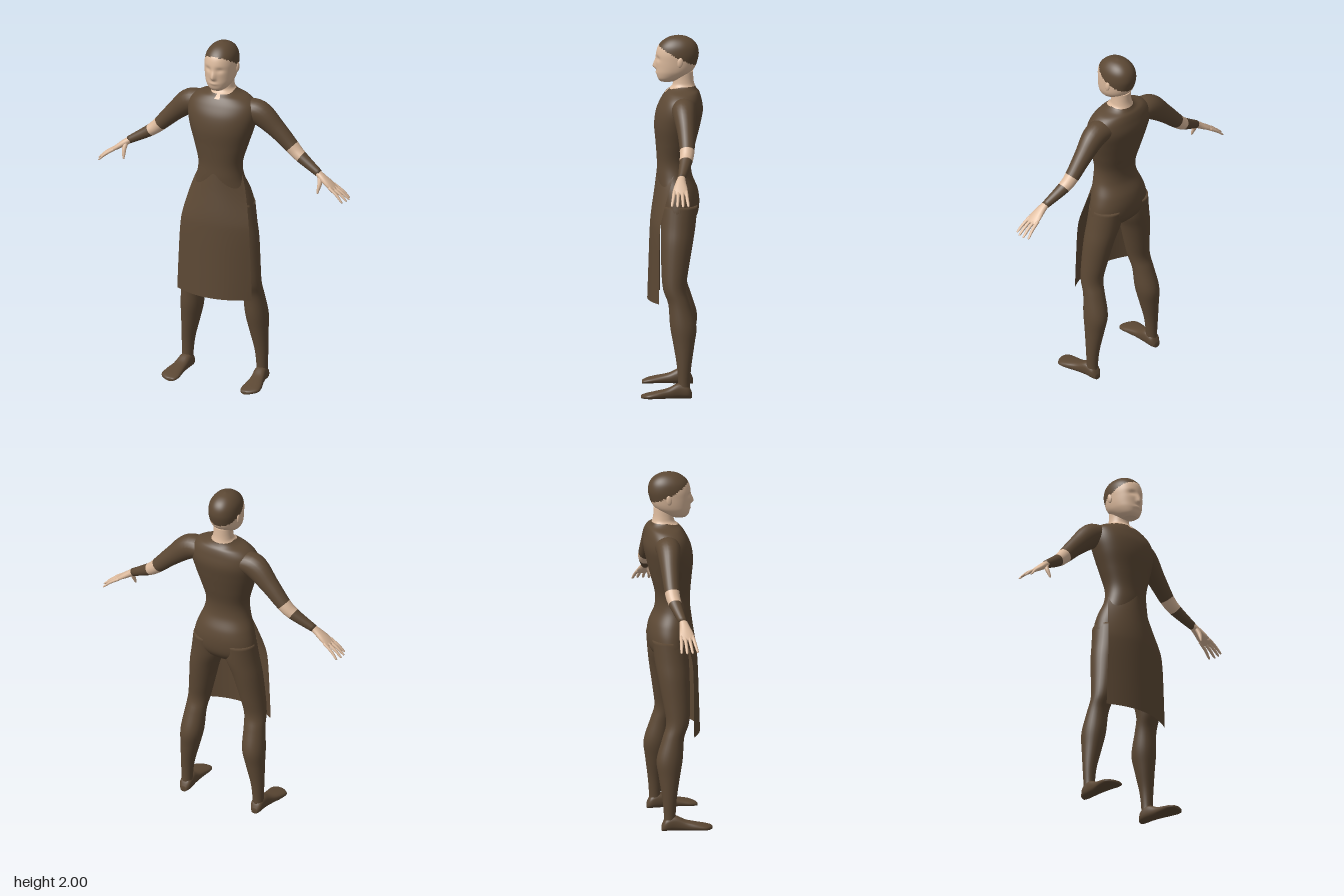
import * as THREE from 'three';

const cloth = new THREE.MeshStandardMaterial({ color: 0x5c4834, side: THREE.DoubleSide });
cloth.name = 'darkBrown';
const skin = new THREE.MeshStandardMaterial({ color: 0xdcba9d, side: THREE.DoubleSide });
skin.name = 'skin';
const MATERIALS = [cloth, skin];
const CLOTH = 0, SKIN = 1;

// Smooth curve through key rows; t counts rows
function sample(keys, t) {
  const i = Math.min(Math.floor(t), keys.length - 2), f = t - i;
  const at = k => keys[Math.max(0, Math.min(keys.length - 1, k))];
  const [p, q, r, s] = [at(i - 1), at(i), at(i + 1), at(i + 2)];
  return q.map((v, k) => {
    const m0 = (r[k] - p[k]) / 2, m1 = (s[k] - v) / 2, d = r[k] - v;
    return v + f * (m0 + f * (3 * d - 2 * m0 - m1 + f * (m0 + m1 - 2 * d)));
  });
}

// Closed loft through rings [x, y, z, a, b]: b lies along z, a lies across the path.
// dir fixes the ring plane, pick(point, t) chooses the material, deform(point) moves vertices.
function loft(name, keys, { seg = 20, sub = 5, dir, power = 2, pick = () => CLOTH, deform } = {}) {
  const rows = (keys.length - 1) * sub, pos = [], v = new THREE.Vector3();
  const curve = (c, e) => Math.sign(c) * Math.abs(c) ** e;
  const add = () => { if (deform) deform(v); pos.push(v.x, v.y, v.z); };
  for (let i = 0; i <= rows; i++) {
    const t = i / sub, [x, y, z, a, b] = sample(keys, t);
    let d = dir;
    if (!d) {
      const p = sample(keys, Math.max(0, t - 0.3)), q = sample(keys, Math.min(keys.length - 1, t + 0.3));
      const l = Math.hypot(q[0] - p[0], q[1] - p[1]);
      d = [(q[0] - p[0]) / l, (q[1] - p[1]) / l];
    }
    for (let j = 0; j < seg; j++) {
      const th = j / seg * Math.PI * 2;
      const c = curve(Math.cos(th), 2 / power) * a, s = curve(Math.sin(th), 2 / power) * b;
      v.set(x - d[1] * c, y + d[0] * c, z + s);
      add();
    }
  }
  const ends = [keys[0], keys[keys.length - 1]];
  ends.forEach(k => { v.set(k[0], k[1], k[2]); add(); });
  const faces = [[], []], n = (rows + 1) * seg;
  for (let j = 0; j < seg; j++) {
    const k = (j + 1) % seg;
    for (let i = 0; i < rows; i++) {
      const A = i * seg + j, B = i * seg + k, C = A + seg, D = B + seg;
      const mid = m => (pos[3 * A + m] + pos[3 * B + m] + pos[3 * C + m] + pos[3 * D + m]) / 4;
      v.set(mid(0), mid(1), mid(2));
      faces[pick(v, (i + 0.5) / sub)].push(A, B, C, B, D, C);
    }
    faces[pick(v.set(...ends[0]), 0)].push(n, k, j);
    faces[pick(v.set(...ends[1]), keys.length - 1)].push(n + 1, rows * seg + j, rows * seg + k);
  }
  const g = new THREE.BufferGeometry();
  g.setAttribute('position', new THREE.Float32BufferAttribute(pos, 3));
  g.setIndex([...faces[0], ...faces[1]]);
  g.addGroup(0, faces[0].length, 0);
  g.addGroup(faces[0].length, faces[1].length, 1);
  g.computeVertexNormals();
  const only = !faces[1].length ? cloth : !faces[0].length ? skin : null;
  if (only) g.clearGroups();
  const mesh = new THREE.Mesh(g, only || MATERIALS);
  mesh.name = name;
  return mesh;
}

// Horizontal ring from centre x, height, half width, front z and back z
const ring = (x, y, w, front, back) => [x, y, (front + back) / 2, w, (front - back) / 2];
const DOWN = [0, -1];
const bump = (d, r) => Math.exp(-(d * d) / (r * r));

function makeHead() {
  const keys = [
    [2.0, 0.004, -0.03, -0.04], [1.99, 0.038, 0.015, -0.083], [1.97, 0.064, 0.05, -0.117],
    [1.94, 0.082, 0.077, -0.139], [1.9, 0.089, 0.089, -0.147], [1.86, 0.088, 0.09, -0.14],
    [1.82, 0.084, 0.088, -0.125], [1.79, 0.076, 0.087, -0.1], [1.76, 0.058, 0.08, -0.055],
    [1.742, 0.035, 0.066, -0.01],
  ].map(([y, w, f, b]) => ring(0, y, w, f, b));
  return loft('head', keys, {
    seg: 72, sub: 6, dir: DOWN, power: 2.15,
    pick: p => p.y > 1.9 + p.z * (p.z > 0 ? 0.6 : 0.5) ? CLOTH : SKIN,
    deform: p => {
      if (p.z < 0.03) return;
      // Nose, eye sockets and lips
      const rise = p.y > 1.825 ? bump(p.y - 1.825, 0.035) : bump(p.y - 1.825, 0.012);
      p.z += 0.02 * bump(p.x, 0.013) * rise;
      p.z -= 0.009 * bump(Math.abs(p.x) - 0.035, 0.02) * bump(p.y - 1.872, 0.014);
      p.z += 0.005 * bump(p.x, 0.025) * bump(p.y - 1.79, 0.008);
    },
  });
}

function makeTorso() {
  const keys = [
    [1.8, 0.052, -0.002, -0.115], [1.75, 0.054, -0.005, -0.118], [1.72, 0.062, 0.0, -0.125],
    [1.7, 0.092, 0.02, -0.135], [1.68, 0.15, 0.04, -0.15], [1.64, 0.195, 0.065, -0.162],
    [1.58, 0.203, 0.09, -0.17], [1.5, 0.186, 0.1, -0.155], [1.4, 0.155, 0.092, -0.13],
    [1.3, 0.128, 0.085, -0.106], [1.22, 0.135, 0.085, -0.109], [1.14, 0.164, 0.08, -0.14],
    [1.07, 0.183, 0.075, -0.15], [1.0, 0.188, 0.068, -0.14], [0.95, 0.15, 0.05, -0.105],
    [0.92, 0.06, 0.02, -0.06],
  ].map(([y, w, f, b]) => ring(0, y, w, f, b));
  // Bare neck above the collar, with a short slit at the throat
  return loft('torso', keys, {
    seg: 64, sub: 7, dir: DOWN, power: 2.1,
    pick: p => p.y > 1.717 - 0.2 * Math.max(0, p.z + 0.06)
      || (Math.abs(p.x) < 0.01 && p.z > 0 && p.y > 1.678) ? SKIN : CLOTH,
  });
}

// Curved front panel hanging from the waist
function makeApron() {
  const rows = [
    [1.25, 0.126, 0.085, -0.015], [1.15, 0.162, 0.097, 0.015], [1.0, 0.198, 0.118, 0.055],
    [0.9, 0.21, 0.125, 0.068], [0.7, 0.22, 0.132, 0.07], [0.525, 0.227, 0.138, 0.07],
  ];
  const g = new THREE.PlaneGeometry(2, 1, 24, 30), p = g.attributes.position;
  for (let i = 0; i < p.count; i++) {
    const s = p.getX(i);
    const [y, w, mid, edge] = sample(rows, (0.5 - p.getY(i)) * (rows.length - 1));
    p.setXYZ(i, w * s, y, edge + (mid - edge) * (1 - s * s));
  }
  g.computeVertexNormals();
  const mesh = new THREE.Mesh(g, cloth);
  mesh.name = 'apron';
  return mesh;
}

function makeSide(s, side) {
  const group = new THREE.Group();
  group.name = side + 'Limbs';
  const flip = keys => keys.map(([x, ...rest]) => [s * x, ...rest]);

  // Sleeved arm with a bare band below the elbow
  group.add(loft(side + 'Arm', flip([
    [0.1, 1.61, -0.065, 0.05, 0.07], [0.205, 1.598, -0.068, 0.07, 0.066],
    [0.31, 1.51, -0.08, 0.053, 0.05], [0.4, 1.42, -0.086, 0.041, 0.041],
    [0.458, 1.371, -0.08, 0.034, 0.036], [0.577, 1.3, -0.058, 0.022, 0.022],
  ]), { seg: 24, sub: 6, pick: (p, t) => t > 3 && t < 4 ? SKIN : CLOTH }));

  // Hand
  const bare = { seg: 12, sub: 4, pick: () => SKIN };
  group.add(loft(side + 'Palm', flip([
    [0.565, 1.307, -0.058, 0.019, 0.02], [0.6, 1.282, -0.053, 0.019, 0.028],
    [0.645, 1.25, -0.051, 0.014, 0.04], [0.68, 1.225, -0.051, 0.007, 0.04],
  ]), bare));
  [[-0.083, -0.096, 0.745], [-0.062, -0.067, 0.757], [-0.04, -0.036, 0.755], [-0.019, -0.006, 0.742]]
    .forEach(([root, tip, x], i) => group.add(loft(side + 'Finger' + (i + 1), flip([
      [0.655, 1.242, root, 0.009, 0.01], [(0.665 + x) / 2, 1.208, (root + tip) / 2, 0.008, 0.009],
      [x - 0.008, 1.177, tip, 0.005, 0.007], [x, 1.17, tip, 0.002, 0.003],
    ]), bare)));
  group.add(loft(side + 'Thumb', flip([
    [0.588, 1.29, -0.045, 0.013, 0.013], [0.595, 1.255, -0.028, 0.013, 0.013],
    [0.592, 1.222, -0.015, 0.009, 0.009], [0.59, 1.2, -0.008, 0.004, 0.004],
  ]), bare));

  // Leg
  group.add(loft(side + 'Leg', [
    [0.095, 1.06, 0.09, 0.055, -0.14], [0.107, 0.95, 0.095, 0.06, -0.13], [0.135, 0.85, 0.084, 0.06, -0.115],
    [0.162, 0.7, 0.071, 0.058, -0.09], [0.178, 0.6, 0.063, 0.048, -0.078], [0.187, 0.52, 0.06, 0.02, -0.1],
    [0.196, 0.4, 0.064, 0.01, -0.135], [0.207, 0.3, 0.053, -0.008, -0.125], [0.222, 0.18, 0.038, -0.028, -0.108],
    [0.226, 0.08, 0.031, -0.035, -0.1], [0.226, 0.03, 0.032, -0.03, -0.103],
  ].map(([x, ...r]) => ring(s * x, ...r)), { seg: 28, dir: DOWN }));

  // Foot: rows of z, centre x, half width, height
  const foot = loft(side + 'Foot', [
    [-0.112, 0.226, 0.018, 0.03], [-0.09, 0.226, 0.033, 0.07], [-0.04, 0.228, 0.036, 0.085],
    [0.02, 0.235, 0.04, 0.058], [0.08, 0.242, 0.05, 0.043], [0.13, 0.242, 0.053, 0.031],
    [0.16, 0.232, 0.034, 0.022], [0.17, 0.226, 0.014, 0.016],
  ].map(([z, x, w, h]) => [z, h / 2, -s * x, h / 2, w]), { seg: 24, dir: [1, 0], power: 2.5 });
  foot.geometry.rotateY(-Math.PI / 2);
  group.add(foot);

  // Ear
  const ear = new THREE.Mesh(new THREE.SphereGeometry(1, 14, 10), skin);
  ear.name = side + 'Ear';
  ear.scale.set(0.008, 0.028, 0.016);
  ear.position.set(s * 0.088, 1.858, -0.045);
  ear.rotation.x = -0.15;
  group.add(ear);
  return group;
}

export function createModel() {
  const model = new THREE.Group();
  model.name = 'robedFigure';
  model.add(makeHead(), makeTorso(), makeApron(), makeSide(1, 'left'), makeSide(-1, 'right'));
  return model;
}
